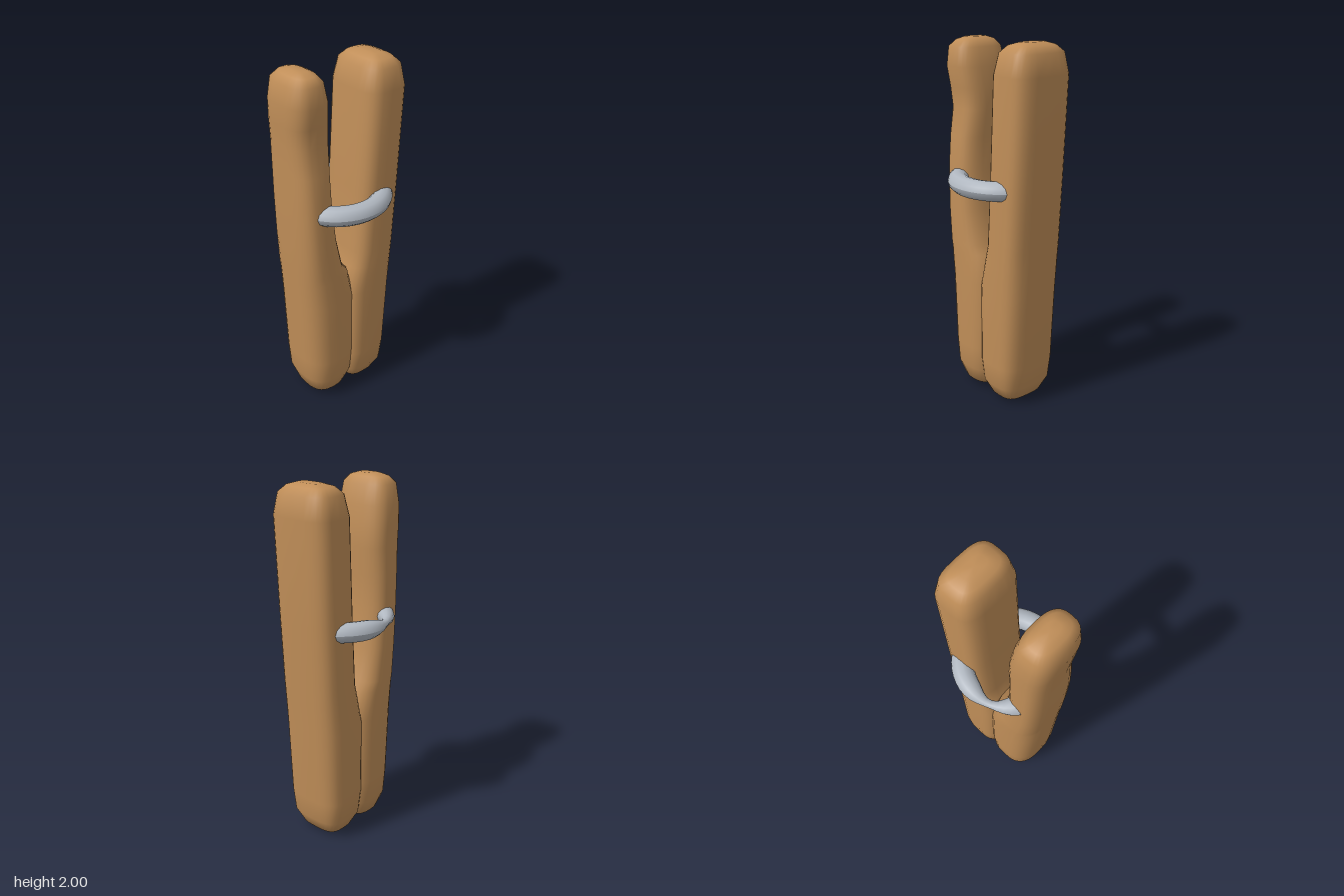
import * as THREE from 'three';

const wood = new THREE.MeshStandardMaterial({ color: 0xc08e58 });
wood.name = 'warm wood';
const metal = new THREE.MeshStandardMaterial({ color: 0xb0b7c0 });
metal.name = 'grey metal';

// Loft of rounded-square sections [y, xMin, xMax, zCentre, zHalf], listed bottom to top
function loft(sections, power = 3.4, sides = 28) {
  const pos = [], idx = [];
  const curve = (v) => Math.sign(v) * Math.pow(Math.abs(v), 2 / power);
  for (const [y, x0, x1, zc, hz] of sections) {
    for (let i = 0; i < sides; i++) {
      const t = (i / sides) * Math.PI * 2;
      pos.push((x0 + x1) / 2 + ((x1 - x0) / 2) * curve(Math.cos(t)), y, zc + hz * curve(Math.sin(t)));
    }
  }
  const rows = sections.length, last = (rows - 1) * sides;
  const bottom = rows * sides, top = bottom + 1;
  for (const [y, x0, x1, zc] of [sections[0], sections[rows - 1]]) pos.push((x0 + x1) / 2, y, zc);
  for (let i = 0; i < sides; i++) {
    const n = (i + 1) % sides;
    for (let r = 0; r < rows - 1; r++) {
      const a = r * sides + i, b = r * sides + n;
      idx.push(a, a + sides, b, b, a + sides, b + sides);
    }
    idx.push(bottom, i, n, top, last + n, last + i);
  }
  const g = new THREE.BufferGeometry();
  g.setAttribute('position', new THREE.Float32BufferAttribute(pos, 3));
  g.setIndex(idx);
  g.computeVertexNormals();
  return g;
}

function add(group, name, geometry, material) {
  const mesh = new THREE.Mesh(geometry, material);
  mesh.name = name;
  group.add(mesh);
  return mesh;
}

export function createModel() {
  const model = new THREE.Group();
  model.name = 'woodenPeg';

  // Thicker, straight prong; its foot overlaps the other one below the slot
  add(model, 'leftProng', loft([
    [0.005, 0.08, 0.16, 0, 0.07],
    [0.03, 0.01, 0.21, 0, 0.13],
    [0.11, -0.03, 0.25, 0, 0.172],
    [0.24, -0.04, 0.262, 0, 0.185],
    [0.68, -0.04, 0.286, 0, 0.187],
    [0.84, 0.0, 0.295, 0, 0.187],
    [0.93, 0.025, 0.3, 0, 0.187],
    [1.3, 0.048, 0.32, 0, 0.187],
    [1.84, 0.075, 0.345, 0, 0.187],
    [1.95, 0.1, 0.325, 0, 0.165],
    [1.985, 0.135, 0.29, 0, 0.125],
    [2.0, 0.18, 0.25, 0, 0.07],
  ]), wood);

  // Thinner prong that wavers backward above the ring
  add(model, 'rightProng', loft([
    [0.008, -0.17, -0.09, 0, 0.07],
    [0.04, -0.235, -0.01, 0, 0.135],
    [0.14, -0.272, 0.03, 0, 0.175],
    [0.28, -0.283, 0.04, 0, 0.183],
    [0.68, -0.303, 0.04, 0, 0.183],
    [0.84, -0.311, 0.0, 0, 0.183],
    [0.89, -0.314, -0.04, 0, 0.182],
    [1.08, -0.323, -0.085, 0, 0.178],
    [1.3, -0.33, -0.108, -0.003, 0.172],
    [1.48, -0.332, -0.11, -0.01, 0.163],
    [1.63, -0.335, -0.1, -0.02, 0.15],
    [1.74, -0.342, -0.105, -0.015, 0.155],
    [1.85, -0.347, -0.118, -0.003, 0.16],
    [1.95, -0.335, -0.14, 0, 0.145],
    [1.985, -0.3, -0.17, 0, 0.11],
    [2.0, -0.265, -0.2, 0, 0.06],
  ], 2.8), wood);

  // Metal ring around the prongs, pinched thin at one place on the back
  const R = 0.245, tube = 0.057;
  const ring = new THREE.TorusGeometry(R, tube, 12, 48).rotateX(Math.PI / 2);
  const p = ring.attributes.position;
  for (let i = 0; i < p.count; i++) {
    const x = p.getX(i), y = p.getY(i), z = p.getZ(i);
    const angle = Math.atan2(x, -z); // zero at the back
    const pinch = Math.exp(-(((angle + 0.36) / 0.35) ** 2));
    const s = 1 - 0.62 * pinch;
    const r = R + 0.012 * pinch + (Math.hypot(x, z) - R) * s;
    p.setXYZ(i, Math.sin(angle) * r, y * (0.93 * s), -Math.cos(angle) * r);
  }
  ring.computeVertexNormals();
  add(model, 'ring', ring, metal).position.y = 1.258;

  return model;
}
